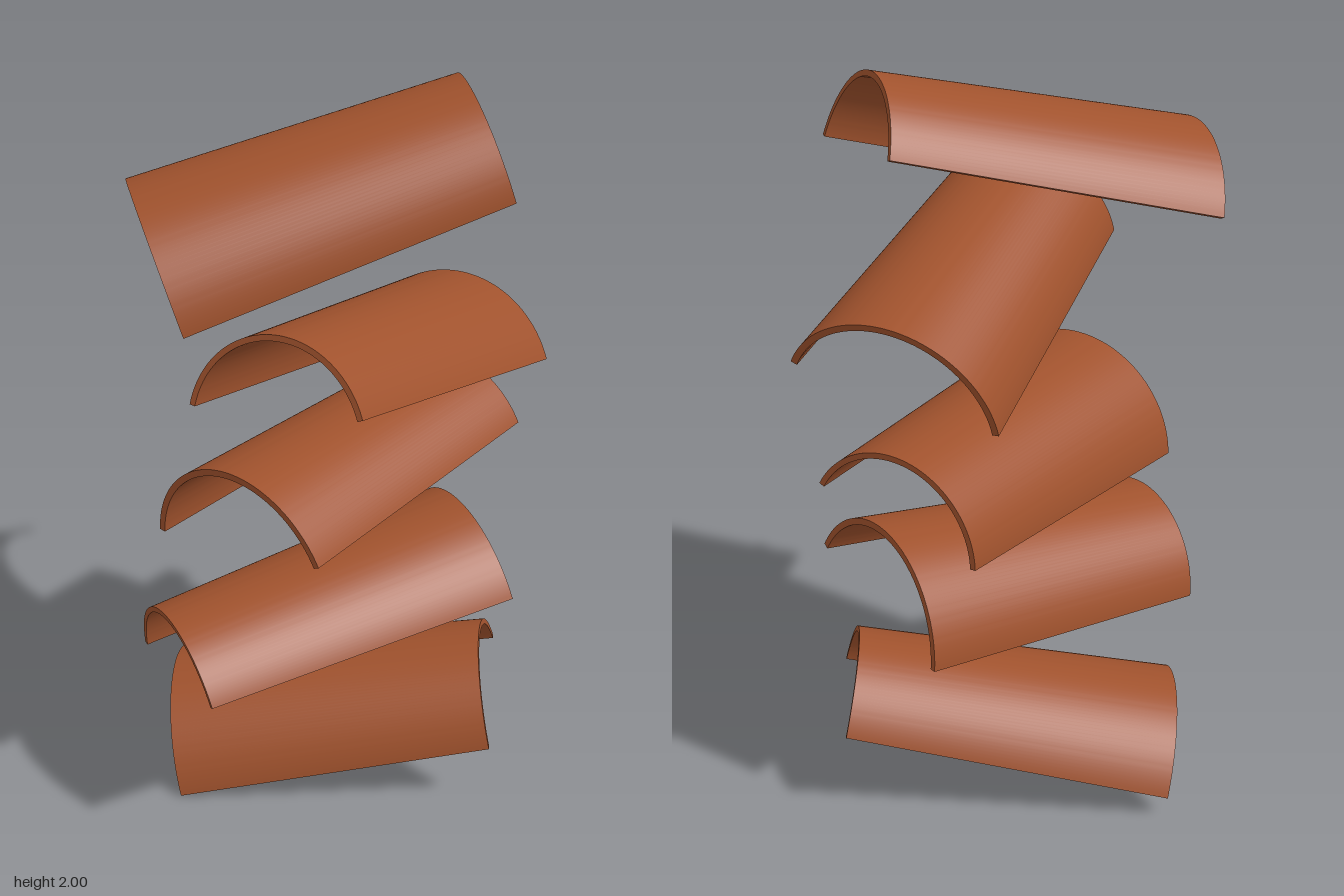
import * as THREE from 'three';
import { toCreasedNormals } from 'three/addons/utils/BufferGeometryUtils.js';

const RADIUS = 0.295;       // outer radius at the wide end
const THICKNESS = 0.018;
const HALF_ANGLE = THREE.MathUtils.degToRad(75);
const LENGTH = 0.865;
const TAPER = 0.846;        // narrow end size relative to the wide end

// Curved barrel tile: wide end at z = 0, narrow end at z = LENGTH, chord through y = 0
function tileGeometry() {
  const cy = -RADIUS * Math.cos(HALF_ANGLE);
  const a0 = Math.PI / 2 - HALF_ANGLE;
  const a1 = Math.PI / 2 + HALF_ANGLE;
  const arch = new THREE.Shape();
  arch.absarc(0, cy, RADIUS, a0, a1, false);
  arch.absarc(0, cy, RADIUS - THICKNESS, a1, a0, true);
  arch.closePath();
  const geo = new THREE.ExtrudeGeometry(arch, { depth: LENGTH, bevelEnabled: false, curveSegments: 40 });
  const p = geo.attributes.position;
  for (let i = 0; i < p.count; i++) {
    const s = 1 - (1 - TAPER) * p.getZ(i) / LENGTH;
    p.setXY(i, p.getX(i) * s, p.getY(i) * s);
  }
  return toCreasedNormals(geo, 0.6);
}

// Each tile: middle of the wide end, middle of the narrow end, direction across the tile
const TILES = [
  [[-0.413, 0.033, -0.068], [0.433, 0.2215, -0.1275], [0.044, -0.052, 0.52]],
  [[0.3285, 0.5665, -0.2275], [-0.3625, 0.471, 0.2805], [0.3, 0.1, 0.424]],
  [[-0.193, 0.894, 0.2935], [0.2585, 0.926, -0.4445], [0.436, 0.111, 0.273]],
  [[0.27, 1.197, -0.28], [-0.051, 1.414, 0.4875], [0.483, 0.096, 0.175]],
  [[-0.416, 1.575, 0.108], [0.357, 1.822, -0.2], [0.221, -0.102, 0.472]],
];

export function createModel() {
  const group = new THREE.Group();
  group.name = 'roofTileStack';
  const terracotta = new THREE.MeshStandardMaterial({ color: 0xa0522d });
  terracotta.name = 'terracotta';
  const geo = tileGeometry();

  TILES.forEach(([wide, narrow, across], i) => {
    const start = new THREE.Vector3(...wide);
    const end = new THREE.Vector3(...narrow);
    const z = end.clone().sub(start).normalize();
    const y = z.clone().cross(new THREE.Vector3(...across)).normalize();
    if (y.y < 0) y.negate();   // the crown of every tile points up
    const x = y.clone().cross(z);
    const tile = new THREE.Mesh(geo, terracotta);
    tile.name = `roofTile${i + 1}`;
    tile.quaternion.setFromRotationMatrix(new THREE.Matrix4().makeBasis(x, y, z));
    // centre the fixed length between the two end points
    tile.position.copy(start).add(end).multiplyScalar(0.5).addScaledVector(z, -LENGTH / 2);
    group.add(tile);
  });
  return group;
}
